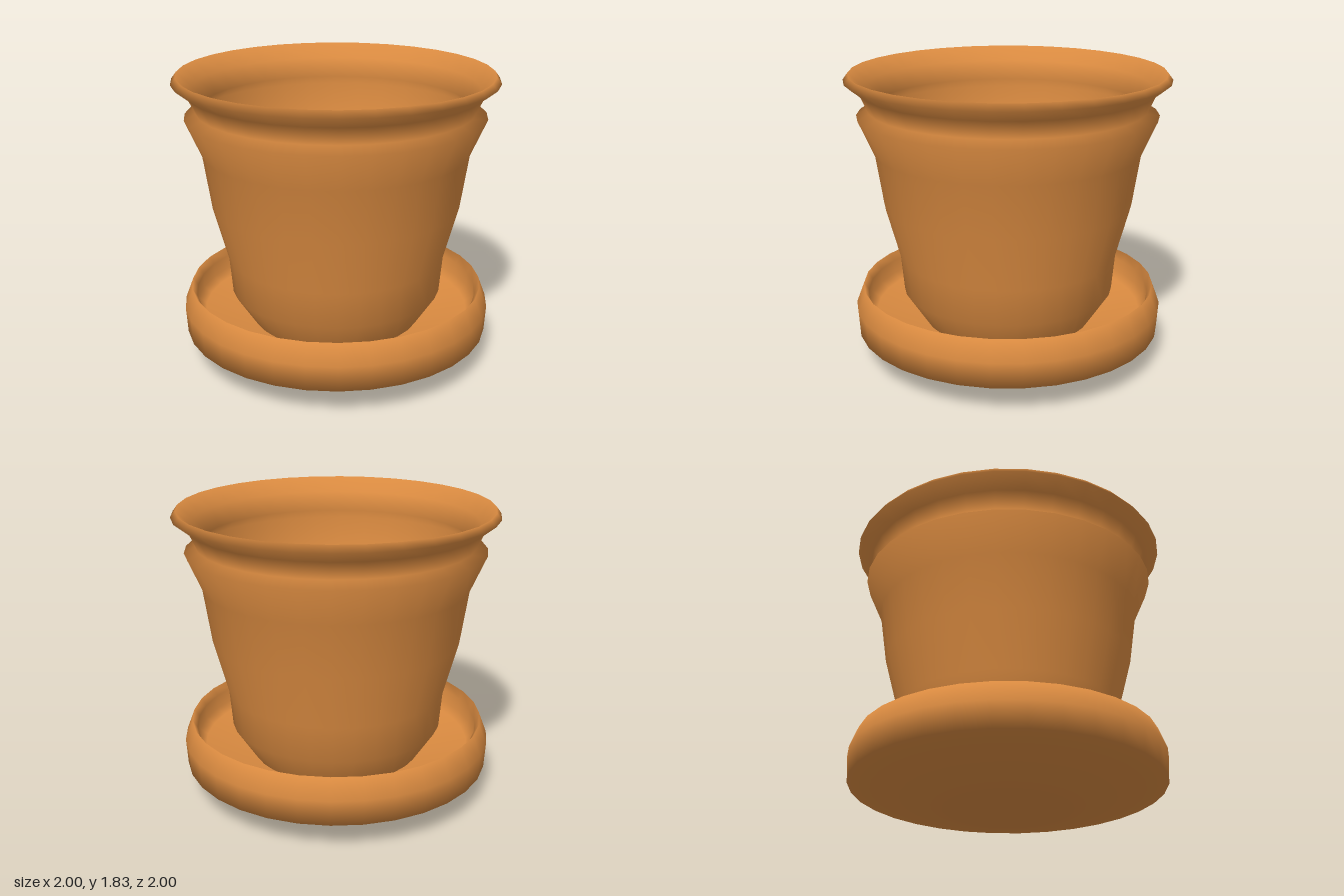
import * as THREE from 'three';

const clay = new THREE.MeshStandardMaterial({ color: 0xd98a40, side: THREE.DoubleSide });
const SIDES = 32;

// Revolves a profile of [radius, height] pairs, outside first and then inside
function turned(name, profile) {
  const points = profile.map(([r, y]) => new THREE.Vector2(r, y));
  const mesh = new THREE.Mesh(new THREE.LatheGeometry(points, SIDES), clay);
  mesh.name = name;
  return mesh;
}

export function createModel() {
  const group = new THREE.Group();
  group.name = 'flowerPotWithSaucer';

  // Saucer: shallow underside, rounded wall, bowl-shaped floor
  group.add(turned('saucer', [
    [0, 0], [0.42, 0.05], [0.97, 0.18], [0.98, 0.34], [0.93, 0.47],
    [0.9, 0.42], [0.9, 0.33], [0.85, 0.29], [0.4, 0.2], [0, 0.17],
  ]));

  // Pot: tapered foot, flared body, shoulder ledge and rolled rim; open at the base
  group.add(turned('pot', [
    [0.52, 0.2], [0.67, 0.43], [0.69, 0.66], [0.78, 1.0], [0.83, 1.34],
    [0.93, 1.57], [0.86, 1.61], [0.91, 1.72], [1.0, 1.79], [0.97, 1.83],
    [0.88, 1.74], [0.83, 1.62], [0.89, 1.56],
    [0.81, 1.34], [0.75, 1.0], [0.66, 0.66], [0.64, 0.43], [0.49, 0.2],
  ]));

  return group;
}
